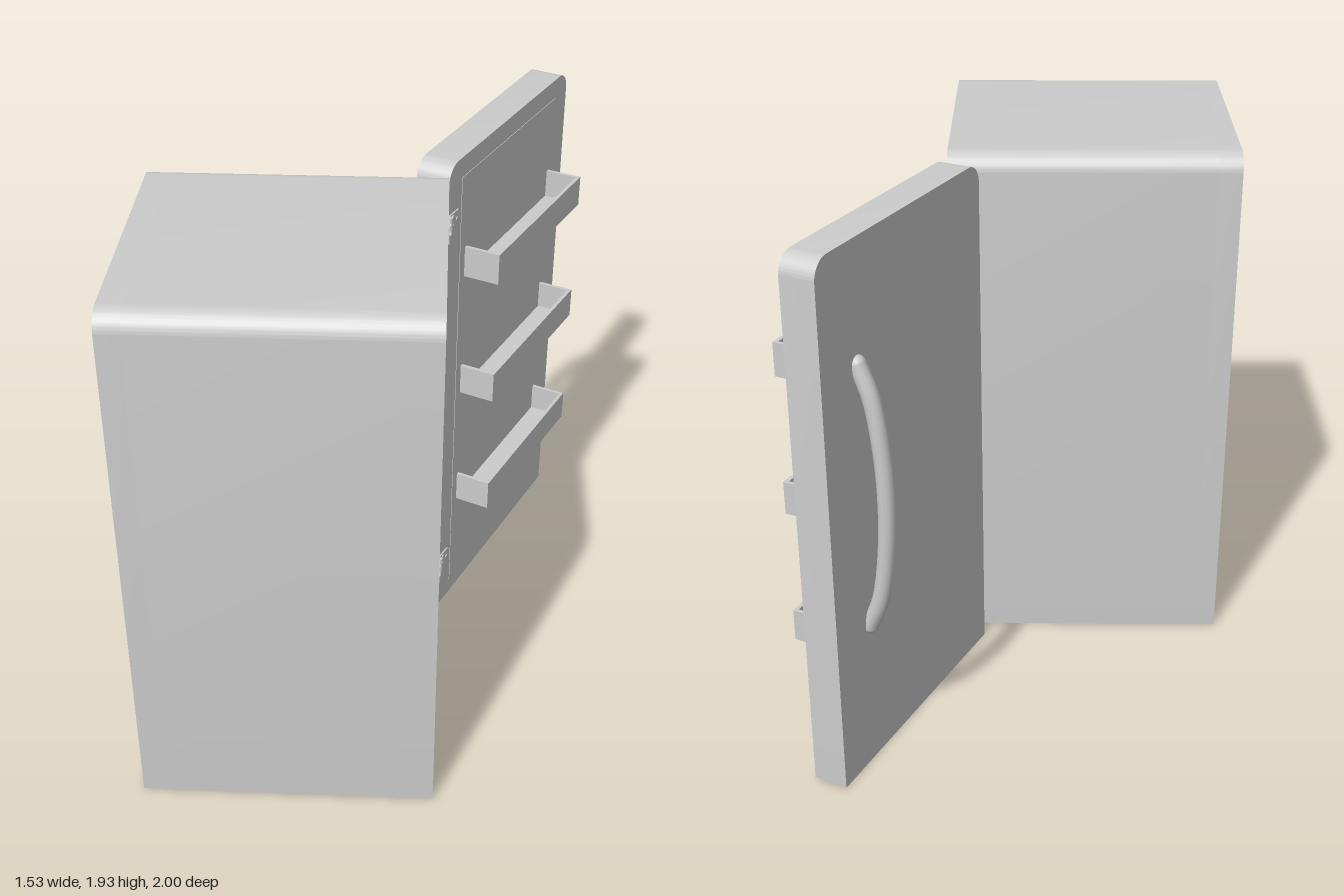
import * as THREE from 'three';
import { toCreasedNormals } from 'three/addons/utils/BufferGeometryUtils.js';

const material = new THREE.MeshStandardMaterial({ color: 0xcccccc, side: THREE.DoubleSide });
const HEIGHT = 1.93;

function add(parent, name, geometry, x = 0, y = 0, z = 0) {
  const mesh = new THREE.Mesh(geometry, material);
  mesh.name = name;
  mesh.position.set(x, y, z);
  parent.add(mesh);
  return mesh;
}

const box = (w, h, d) => new THREE.BoxGeometry(w, h, d);

// Upright slab with two rounded top corners and an optional rectangular hole [x0, y0, x1, y1]
function roundedSlab(width, depth, hole) {
  const r = 0.07;
  const s = new THREE.Shape();
  s.moveTo(0, 0);
  s.lineTo(width, 0);
  s.lineTo(width, HEIGHT - r);
  s.absarc(width - r, HEIGHT - r, r, 0, Math.PI / 2);
  s.lineTo(r, HEIGHT);
  s.absarc(r, HEIGHT - r, r, Math.PI / 2, Math.PI);
  s.lineTo(0, 0);
  if (hole) {
    const [x0, y0, x1, y1] = hole;
    const h = new THREE.Path();
    h.moveTo(x0, y0);
    h.lineTo(x0, y1);
    h.lineTo(x1, y1);
    h.lineTo(x1, y0);
    h.closePath();
    s.holes.push(h);
  }
  const g = new THREE.ExtrudeGeometry(s, { depth, bevelEnabled: false, curveSegments: 10 });
  return toCreasedNormals(g, 0.6);
}

// Shelf whose front edge curves down to a thin lip
function shelfGeometry() {
  const s = new THREE.Shape();
  s.moveTo(-0.69, 0);
  s.lineTo(0.055, 0);
  s.quadraticCurveTo(0.0, 0.037, -0.08, 0.037);
  s.lineTo(-0.69, 0.037);
  s.closePath();
  const g = new THREE.ExtrudeGeometry(s, { depth: 0.785, bevelEnabled: false, curveSegments: 8 });
  return toCreasedNormals(g, 0.5);
}

// Leaf plate with three screws, lying in the local xy plane; dir is its direction along x
function hingeLeaf(parent, name, dir, y) {
  const leaf = new THREE.Group();
  leaf.name = name;
  leaf.position.y = y;
  parent.add(leaf);
  add(leaf, 'leafPlate', box(0.07, 0.06, 0.006), dir * 0.035, 0, 0.003);
  for (const [x, h] of [[0.025, 0.018], [0.025, -0.018], [0.055, 0]]) {
    add(leaf, 'screw', new THREE.CylinderGeometry(0.007, 0.007, 0.006, 10), dir * x, h, 0.007)
      .rotation.x = Math.PI / 2;
  }
  return leaf;
}

export function createModel() {
  const fridge = new THREE.Group();
  fridge.name = 'refrigerator';

  // Cabinet: local x runs along -z, local z points out of the opening
  const cabinet = new THREE.Group();
  cabinet.name = 'cabinet';
  cabinet.position.set(0.25, 0, 1);
  cabinet.rotation.y = Math.PI / 2;
  fridge.add(cabinet);
  add(cabinet, 'cabinetShell', roundedSlab(1.015, 0.94, [0.105, 0.06, 0.91, 1.855]), 0, 0, -0.94);
  add(cabinet, 'cabinetBack', roundedSlab(1.015, 0.08), 0, 0, -1.02);

  for (const y of [0.367, 0.825, 1.303]) add(fridge, 'shelf', shelfGeometry(), 0, y, 0.095);

  // Door, swung open: local x runs along its width, local z is its inner side
  const door = new THREE.Group();
  door.name = 'door';
  door.position.set(0.25, 0, -0.037);
  door.rotation.y = 1.116;
  fridge.add(door);
  add(door, 'doorPanel', roundedSlab(1.013, 0.125), 0, 0, -0.125);
  add(door, 'innerLiner', box(0.81, 1.795, 0.004), 0.507, 0.957, 0);

  // Open-topped door baskets
  for (const y of [0.45, 0.95, 1.45]) {
    const basket = new THREE.Group();
    basket.name = 'doorBasket';
    basket.position.set(0.51, y, 0);
    door.add(basket);
    add(basket, 'basketFloor', box(0.74, 0.012, 0.138), 0, 0.006, 0.069);
    add(basket, 'basketFront', box(0.74, 0.118, 0.014), 0, 0.059, 0.131);
    for (const side of [-1, 1]) {
      add(basket, 'basketEnd', box(0.014, 0.118, 0.138), side * 0.363, 0.059, 0.069);
    }
  }

  // Bowed handle on the outer side, with rounded ends
  const arc = new THREE.CatmullRomCurve3([
    [0.55, -0.125], [0.66, -0.17], [0.84, -0.2], [1.035, -0.21],
    [1.23, -0.2], [1.41, -0.17], [1.52, -0.125],
  ].map(([y, z]) => new THREE.Vector3(0.81, y, z)));
  add(door, 'handle', new THREE.TubeGeometry(arc, 40, 0.03, 14));
  for (const y of [0.55, 1.52]) {
    add(door, 'handleEnd', new THREE.SphereGeometry(0.03, 14, 10), 0.81, y, -0.125);
  }

  // Hinges joining cabinet and door
  for (const y of [0.22, 1.72]) {
    hingeLeaf(door, 'doorHingeLeaf', 1, y);
    hingeLeaf(cabinet, 'cabinetHingeLeaf', -1, y).position.x = 1.015;
    add(fridge, 'hingePin', new THREE.CylinderGeometry(0.01, 0.01, 0.065, 12), 0.257, y, -0.024);
  }

  return fridge;
}
